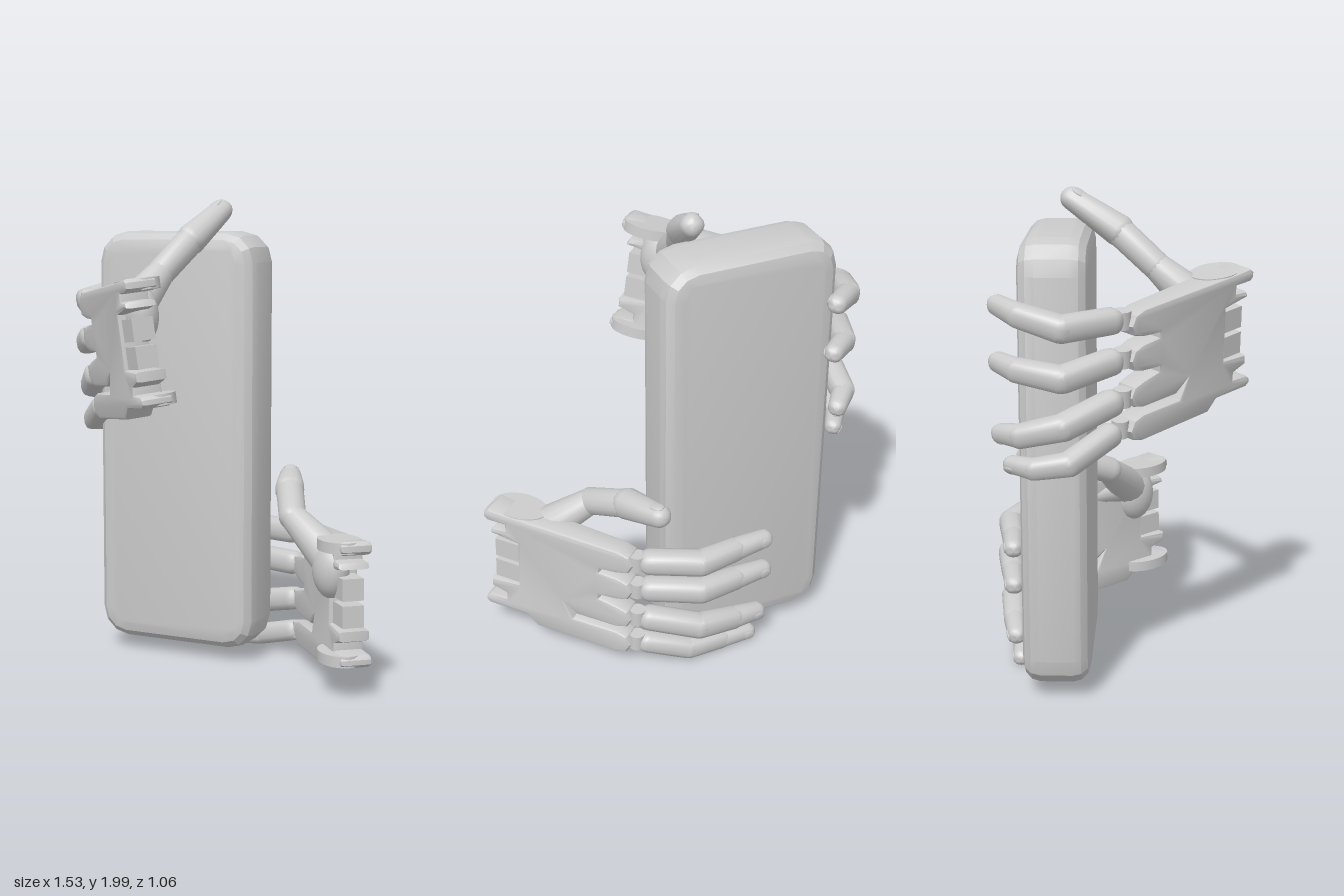
import * as THREE from 'three';
import { toCreasedNormals } from 'three/addons/utils/BufferGeometryUtils.js';

const V = (p) => new THREE.Vector3(...p);
const material = new THREE.MeshStandardMaterial({ color: 0xcccccc });
const UP = new THREE.Vector3(0, 1, 0);

function add(parent, geometry, name) {
  const mesh = new THREE.Mesh(geometry, material);
  mesh.name = name;
  parent.add(mesh);
  return mesh;
}

// Tapered, round-ended bone from a to b; square > 2 makes its section boxier
function bone(parent, a, b, r0, r1, name, hint, square = 2) {
  const length = a.distanceTo(b);
  const profile = [];
  for (const [r, y, from] of [[r0, 0, -Math.PI / 2], [r1, length, 0]]) {
    for (let i = 0; i <= 5; i++) {
      const t = from + (i / 5) * Math.PI / 2;
      profile.push(new THREE.Vector2(Math.max(0, r * Math.cos(t)), y + r * Math.sin(t)));
    }
  }
  const geometry = new THREE.LatheGeometry(profile, 16);
  const pos = geometry.attributes.position;
  for (let i = 0; i < pos.count; i++) {
    const x = pos.getX(i), z = pos.getZ(i), r = Math.hypot(x, z);
    if (r < 1e-6) continue;
    const k = Math.pow(Math.abs(x / r) ** square + Math.abs(z / r) ** square, -1 / square);
    pos.setX(i, x * k);
    pos.setZ(i, z * k);
  }
  const mesh = add(parent, toCreasedNormals(geometry, 0.9), name);
  const axis = b.clone().sub(a).normalize();
  const side = axis.clone().cross(hint).normalize();
  mesh.quaternion.setFromRotationMatrix(
    new THREE.Matrix4().makeBasis(side, axis, side.clone().cross(axis)));
  mesh.position.copy(a);
  return mesh;
}

// Slab with a bevelled edge, centred on its thickness
function slab(points, depth, bevel, segments) {
  const shape = new THREE.Shape(points.map(([x, y]) => new THREE.Vector2(x, y)));
  const geometry = new THREE.ExtrudeGeometry(shape, {
    depth: depth - 2 * bevel, bevelEnabled: true, bevelThickness: bevel,
    bevelSize: bevel, bevelOffset: -bevel, bevelSegments: segments, steps: 1,
  });
  return geometry.translate(0, 0, -depth / 2 + bevel);
}

// Palm outline: x runs from wrist to knuckles, y towards the thumb
function palmGeometry() {
  const pts = [[0.02, -0.255], [0.2, -0.255], [0.25, -0.3]];
  [-0.25, -0.11, 0.04, 0.18].forEach((v, i) => {
    if (i === 1) pts.push([0.42, -0.195], [0.38, -0.12], [0.44, -0.165]);
    if (i > 1) pts.push([0.54, v - 0.08], [0.54, v - 0.062]);
    pts.push([0.62, v - 0.055], [0.67, v - 0.04], [0.69, v], [0.67, v + 0.04], [0.62, v + 0.055]);
  });
  pts.push([0.1, 0.25], [0.02, 0.255], [0, 0.24], [0, 0.215], [0.02, 0.2], [0.1, 0.2],
    [0.1, 0.17], [0.04, 0.165], [0.03, 0.14], [0.16, 0.12], [0.16, -0.1], [0.03, -0.11],
    [0.03, -0.15], [0.1, -0.17], [0.1, -0.2], [0.02, -0.205], [0, -0.22], [0, -0.24]);
  const geometry = slab(pts, 0.13, 0.016, 2);
  const pos = geometry.attributes.position;
  // thinner towards the knuckles
  for (let i = 0; i < pos.count; i++) {
    pos.setZ(i, pos.getZ(i) * (1.05 - 0.5 * pos.getX(i)));
  }
  return toCreasedNormals(geometry, 0.6);
}

function makeHand({ name, origin, along, up, side, fingers, thumb }) {
  const hand = new THREE.Group();
  hand.name = name;

  // Palm frame
  const u = V(along).normalize();
  const w = u.clone().cross(V(up)).normalize();
  const v = w.clone().cross(u);
  const n = w.clone().multiplyScalar(side);
  const palm = new THREE.Group();
  palm.name = 'palm';
  palm.position.copy(V(origin));
  palm.quaternion.setFromRotationMatrix(new THREE.Matrix4().makeBasis(u, v, w));
  hand.add(palm);
  add(palm, palmGeometry(), 'palmPlate');

  // Wrist blocks between rounded cuffs, and the heel of the thumb
  for (const y of [0.055, -0.055]) {
    add(palm, new THREE.BoxGeometry(0.14, 0.09, 0.09), 'wristBlock').position.set(0.115, y, 0);
  }
  for (const y of [0.228, -0.228]) {
    const cuff = add(palm, new THREE.CylinderGeometry(1, 1, 0.045, 24), 'wristCuff');
    cuff.scale.set(0.125, 1, 0.085);
    cuff.position.set(0.128, y, side * 0.03);
  }
  const heel = add(palm, new THREE.SphereGeometry(1, 20, 14), 'thumbHeel');
  heel.scale.set(0.095, 0.125, 0.075);
  heel.position.set(0.19, 0.12, side * 0.045);

  // Thin nail on the back of the last bone
  const nail = (parent, a, b, r, back) => {
    const axis = b.clone().sub(a).normalize();
    const across = axis.clone().cross(back).normalize();
    const out = across.clone().cross(axis);
    const mesh = add(parent, new THREE.SphereGeometry(1, 12, 8), 'nail');
    mesh.scale.set(r * 0.62, r * 0.85, r * 0.2);
    mesh.quaternion.setFromRotationMatrix(new THREE.Matrix4().makeBasis(across, axis, out));
    mesh.position.copy(a).lerp(b, 0.92).addScaledVector(out, r * 0.9);
  };

  // Four fingers
  ['index', 'middle', 'ring', 'little'].forEach((label, f) => {
    const finger = new THREE.Group();
    finger.name = label + 'Finger';
    hand.add(finger);
    const p = fingers[f].map(V);
    const k = f === 3 ? 0.9 : 1;
    const radii = [0.05, 0.051, 0.046, 0.038].map((r) => r * k);
    const start = p[0].clone().lerp(p[1], 0.2);
    bone(finger, start, p[1], radii[0], radii[1], 'proximalBone', v, 3);
    bone(finger, p[1], p[2], radii[1], radii[2], 'middleBone', v, 3);
    bone(finger, p[2], p[3], radii[2], radii[3], 'fingertip', v, 2.5);
    nail(finger, p[2], p[3], radii[3], n.clone().negate());
    const pin = add(finger, new THREE.CylinderGeometry(0.034, 0.034, 0.07, 16), 'knuckleHinge');
    pin.position.copy(p[0]);
    pin.quaternion.setFromUnitVectors(UP, v);
  });

  // Thumb and its web
  const thumbGroup = new THREE.Group();
  thumbGroup.name = 'thumb';
  hand.add(thumbGroup);
  const t = thumb.map(V);
  const web = V(origin).addScaledVector(u, 0.42).addScaledVector(v, 0.15).addScaledVector(n, 0.02);
  bone(thumbGroup, t[0], web, 0.07, 0.035, 'thumbWeb', n);
  bone(thumbGroup, t[0], t[1], 0.085, 0.056, 'thumbBase', n);
  bone(thumbGroup, t[1], t[2], 0.058, 0.06, 'thumbMiddle', n);
  bone(thumbGroup, t[2], t[3], 0.062, 0.045, 'thumbTip', n, 2.5);
  nail(thumbGroup, t[2], t[3], 0.045, v);
  return hand;
}

// Rounded slab held between the hands
function makeSlab() {
  const hw = 0.3725, hh = 0.9, r = 0.13;
  const pts = [];
  [[1, 1], [-1, 1], [-1, -1], [1, -1]].forEach(([sx, sy], c) => {
    for (let i = 0; i <= 3; i++) {
      const a = (c + i / 3) * Math.PI / 2;
      pts.push([sx * (hw - r) + r * Math.cos(a), sy * (hh - r) + r * Math.sin(a)]);
    }
  });
  return toCreasedNormals(slab(pts, 0.27, 0.07, 3), 0.3);
}

export function createModel() {
  const model = new THREE.Group();
  model.name = 'handsHoldingSlab';
  add(model, makeSlab(), 'roundedSlab').position.set(-0.2425, 0.9625, -0.2425);

  model.add(makeHand({
    name: 'upperHand', origin: [-0.035, 1.44, 0.48], along: [-0.74, -0.1, -0.66],
    up: [-0.16, 0.98, 0], side: 1,
    fingers: [
      [[-0.57, 1.57, 0.02], [-0.71, 1.56, -0.2], [-0.66, 1.6, -0.36], [-0.56, 1.62, -0.45]],
      [[-0.56, 1.42, 0.02], [-0.71, 1.37, -0.2], [-0.65, 1.39, -0.37], [-0.56, 1.4, -0.45]],
      [[-0.54, 1.26, 0.02], [-0.69, 1.18, -0.2], [-0.67, 1.14, -0.36], [-0.6, 1.13, -0.44]],
      [[-0.51, 1.13, 0.01], [-0.67, 1.03, -0.18], [-0.67, 1.01, -0.31], [-0.61, 1.01, -0.4]],
    ],
    thumb: [[-0.2, 1.57, 0.295], [-0.16, 1.7, 0.14], [-0.1, 1.83, -0.01], [-0.05, 1.95, -0.2]],
  }));

  model.add(makeHand({
    name: 'lowerHand', origin: [0.715, 0.4, 0.155], along: [-0.65, -0.03, -0.76],
    up: [0, 1, 0], side: -1,
    fingers: [
      [[0.26, 0.56, -0.37], [0.02, 0.55, -0.475], [-0.15, 0.55, -0.45], [-0.29, 0.55, -0.435]],
      [[0.26, 0.42, -0.37], [0.02, 0.41, -0.48], [-0.15, 0.4, -0.455], [-0.29, 0.39, -0.435]],
      [[0.26, 0.27, -0.37], [0.02, 0.21, -0.47], [-0.15, 0.18, -0.45], [-0.27, 0.16, -0.43]],
      [[0.26, 0.13, -0.36], [0.05, 0.07, -0.43], [-0.11, 0.055, -0.42], [-0.24, 0.045, -0.415]],
    ],
    thumb: [[0.54, 0.55, 0.01], [0.34, 0.69, -0.07], [0.25, 0.77, -0.25], [0.18, 0.8, -0.42]],
  }));
  return model;
}
